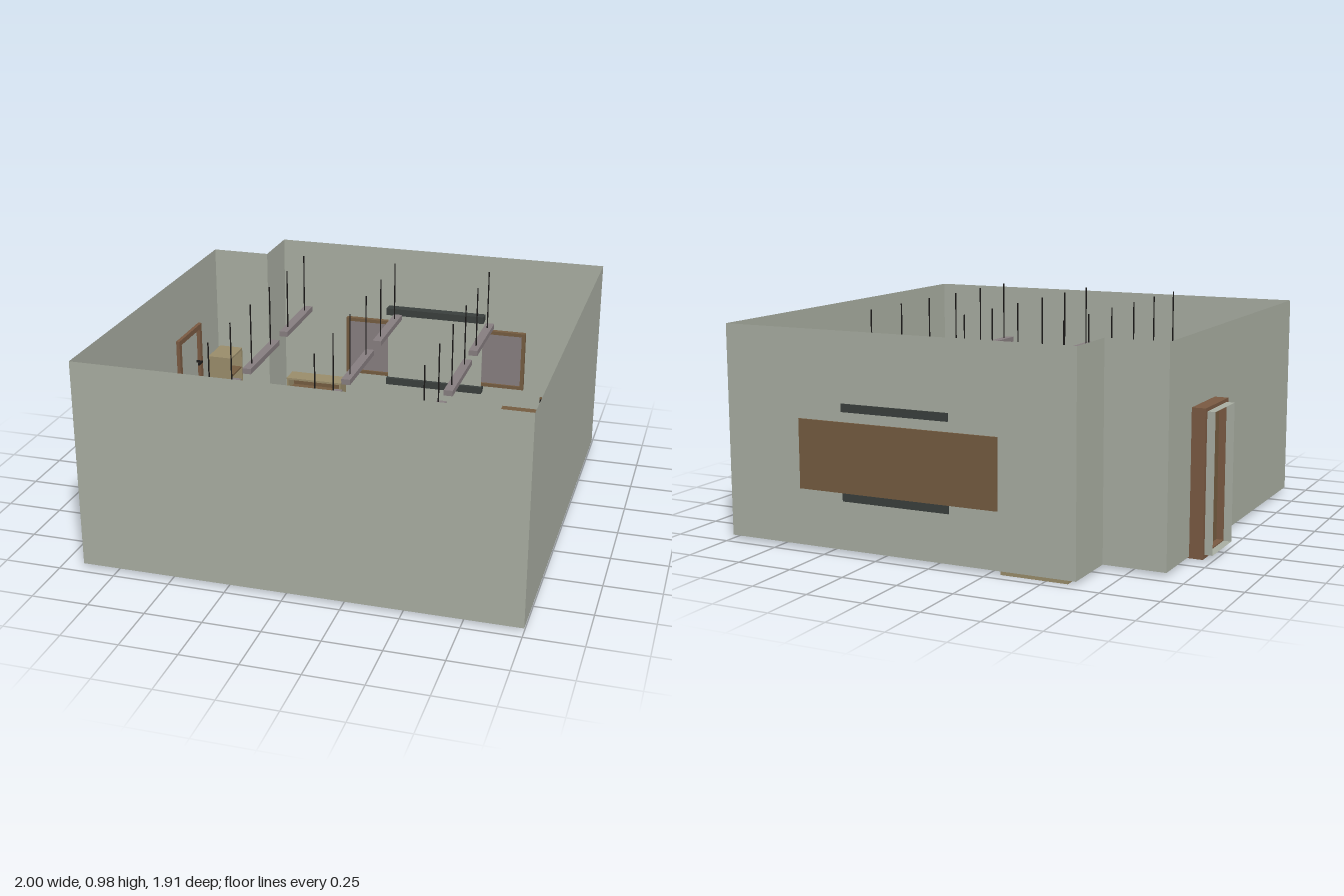
import * as THREE from 'three';

const mat = (name, color, side = THREE.FrontSide) => {
  const m = new THREE.MeshStandardMaterial({ color, side });
  m.name = name;
  return m;
};

export function createModel() {
  const wallPaint = mat('wall paint', 0xa9aea2, THREE.DoubleSide);
  const greyPurple = mat('grey floor', 0x877e80, THREE.DoubleSide);
  const deskWood = mat('desk wood', 0x755c40);
  const doorWood = mat('door wood', 0x7a5a42);
  const paleWood = mat('pale wood', 0x9a8d6b);
  const charcoal = mat('charcoal', 0x3a3f3d);
  const black = mat('black metal', 0x1c1a19);

  const model = new THREE.Group();
  model.name = 'classroom';

  const group = (name, parent = model) => {
    const g = new THREE.Group();
    g.name = name;
    parent.add(g);
    return g;
  };
  const add = (parent, name, geo, material) => {
    const m = new THREE.Mesh(geo, material);
    m.name = name;
    parent.add(m);
    return m;
  };
  // box given by its limits on each axis
  const box = (parent, name, material, x0, x1, y0, y1, z0, z1) => {
    const m = add(parent, name, new THREE.BoxGeometry(x1 - x0, y1 - y0, z1 - z0), material);
    m.position.set((x0 + x1) / 2, (y0 + y1) / 2, (z0 + z1) / 2);
    return m;
  };

  // Room: floor and thin walls follow one outline with a notched corner
  const FLOOR = 0.015, TOP = 0.94;
  const outline = [[-0.905, 0.957], [1, 0.957], [1, -0.95], [-0.63, -0.95], [-0.63, -0.685], [-0.905, -0.685]];
  const room = group('room');
  const floorShape = new THREE.Shape(outline.map(([x, z]) => new THREE.Vector2(x, -z)));
  const floor = add(room, 'floor', new THREE.ShapeGeometry(floorShape), greyPurple);
  floor.rotation.x = -Math.PI / 2;
  floor.position.y = FLOOR;
  outline.forEach(([x0, z0], i) => {
    const [x1, z1] = outline[(i + 1) % outline.length];
    const wall = add(room, 'wall', new THREE.PlaneGeometry(Math.hypot(x1 - x0, z1 - z0), TOP - FLOOR), wallPaint);
    wall.position.set((x0 + x1) / 2, (FLOOR + TOP) / 2, (z0 + z1) / 2);
    wall.rotation.y = Math.atan2(z0 - z1, x1 - x0);
  });

  // Doorway: frame, leaf, handle and the open recess behind it
  const door = group('door');
  const rect = (Type, w, y0, y1) => new Type([[-w, y0], [w, y0], [w, y1], [-w, y1]].map(p => new THREE.Vector2(...p)));
  const frameShape = rect(THREE.Shape, 0.142, 0.008, 0.64);
  frameShape.holes.push(rect(THREE.Path, 0.116, 0.03, 0.615));
  const frame = add(door, 'doorFrame',
    new THREE.ExtrudeGeometry(frameShape, { depth: 0.077, bevelEnabled: false }), doorWood);
  frame.rotation.y = Math.PI / 2;
  frame.position.set(-0.965, 0, -0.281);
  box(door, 'doorLeaf', deskWood, -0.935, -0.915, 0.02, 0.62, -0.4, -0.162);
  const plate = box(door, 'handlePlate', black, -0.915, -0.908, 0.41, 0.47, -0.392, -0.376);
  plate.name = 'handlePlate';
  box(door, 'handleStem', black, -0.91, -0.878, 0.445, 0.455, -0.389, -0.379);
  box(door, 'handleGrip', black, -0.884, -0.874, 0.445, 0.455, -0.389, -0.345);
  const recess = (name, w, h, x, y, z, rx, ry) => {
    const m = add(door, name, new THREE.PlaneGeometry(w, h), wallPaint);
    m.position.set(x, y, z);
    m.rotation.set(rx, ry, 0);
  };
  for (const z of [-0.404, -0.16]) recess('recessSide', 0.07, 0.6, -0.965, 0.325, z, 0, 0);
  for (const y of [0.025, 0.625]) recess('recessEnd', 0.07, 0.244, -0.965, y, -0.282, Math.PI / 2, 0);

  // Board on the back wall, with a screen held between two dark rails
  const board = group('board');
  box(board, 'boardBack', deskWood, -0.29, 0.64, 0.26, 0.56, -0.957, -0.94);
  box(board, 'boardSurface', greyPurple, -0.275, 0.625, 0.275, 0.545, -0.94, -0.935);
  for (const y of [0.26, 0.543]) box(board, 'boardRail', deskWood, -0.29, 0.64, y, y + 0.017, -0.94, -0.925);
  for (const x of [-0.29, 0.623]) box(board, 'boardStile', deskWood, x, x + 0.017, 0.277, 0.543, -0.94, -0.925);
  box(board, 'screen', wallPaint, -0.065, 0.425, 0.26, 0.605, -0.924, -0.918);
  box(board, 'upperScreenRail', charcoal, -0.07, 0.43, 0.603, 0.638, -0.956, -0.9);
  box(board, 'lowerScreenRail', charcoal, -0.07, 0.43, 0.225, 0.26, -0.956, -0.9);

  // Hanging lamps on pairs of wires
  const lamps = group('lamps');
  for (const x of [-0.4, 0.058, 0.515]) for (const z of [-0.44, 0.067, 0.575]) {
    box(lamps, 'lamp', greyPurple, x - 0.02, x + 0.02, 0.68, 0.705, z - 0.195, z + 0.195);
    for (const dz of [-0.128, 0.128]) {
      const wire = add(lamps, 'wire', new THREE.CylinderGeometry(0.003, 0.003, 0.28, 6), black);
      wire.position.set(x, 0.843, z + dz);
    }
  }

  // Chair facing -z, its backrest bowed outwards
  const makeChair = (parent, x, z, turn) => {
    const chair = group('chair', parent);
    chair.position.set(x, 0, z);
    chair.rotation.y = turn;
    box(chair, 'seat', deskWood, -0.05, 0.05, 0.122, 0.132, -0.055, 0.045);
    for (const s of [-1, 1]) {
      const lx = s * 0.045;
      box(chair, 'frontLeg', black, lx - 0.004, lx + 0.004, 0.007, 0.122, -0.05, -0.042);
      box(chair, 'backLeg', black, lx + s * 0.005 - 0.004, lx + s * 0.005 + 0.004, 0.007, 0.235, 0.042, 0.05);
      box(chair, 'sideRail', black, lx - 0.003, lx + 0.003, 0.114, 0.122, -0.046, 0.046);
    }
    const geo = new THREE.BoxGeometry(0.114, 0.06, 0.007, 8, 1, 1);
    const p = geo.attributes.position;
    for (let i = 0; i < p.count; i++) p.setZ(i, p.getZ(i) + 0.008 * (1 - (p.getX(i) / 0.057) ** 2));
    geo.computeVertexNormals();
    add(chair, 'backrest', geo, deskWood).position.set(0, 0.215, 0.049);
  };

  // Pupil desks: top, open tray below and four thin legs
  const makeDesk = (x, z) => {
    const place = group('pupilPlace');
    const desk = group('desk', place);
    desk.position.set(x, 0, z);
    box(desk, 'deskTop', deskWood, -0.113, 0.113, 0.2, 0.21, -0.09, 0.09);
    box(desk, 'trayFloor', deskWood, -0.105, 0.105, 0.155, 0.162, -0.082, 0.082);
    box(desk, 'trayBack', deskWood, -0.105, 0.105, 0.162, 0.2, -0.082, -0.075);
    for (const s of [-1, 1]) {
      box(desk, 'traySide', deskWood, s * 0.1015 - 0.0035, s * 0.1015 + 0.0035, 0.162, 0.2, -0.075, 0.082);
      for (const t of [-1, 1])
        box(desk, 'deskLeg', black, s * 0.097 - 0.005, s * 0.097 + 0.005, 0.007, 0.155, t * 0.074 - 0.005, t * 0.074 + 0.005);
    }
    makeChair(place, x, z + 0.103, 0);
  };
  for (const x of [-0.557, -0.146, 0.262, 0.673])
    for (const z of [-0.285, 0.044, 0.37, 0.7]) makeDesk(x, z);

  // Teacher's desk with solid ends, and its turned chair
  const teacher = group('teacherPlace');
  box(teacher, 'teacherDeskTop', deskWood, 0.573, 0.975, 0.225, 0.24, -0.745, -0.594);
  box(teacher, 'modestyPanel', deskWood, 0.6, 0.948, 0.07, 0.225, -0.615, -0.605);
  for (const x of [0.588, 0.948]) box(teacher, 'deskEnd', deskWood, x, x + 0.012, FLOOR, 0.225, -0.735, -0.603);
  box(teacher, 'drawers', deskWood, 0.86, 0.948, 0.09, 0.225, -0.73, -0.615);
  makeChair(teacher, 0.774, -0.832, 2.84);

  // Open bookcases built facing +z, with a brown back and shelves
  const makeBookcase = (name, w, h, d, shelves) => {
    const c = group(name);
    const t = 0.01;
    box(c, 'caseTop', paleWood, -w / 2, w / 2, h - t, h, -d / 2, d / 2);
    box(c, 'caseBase', paleWood, -w / 2, w / 2, 0, 0.03, -d / 2, d / 2);
    box(c, 'caseBack', deskWood, -w / 2 + t, w / 2 - t, 0.03, h - t, -d / 2, -d / 2 + t);
    for (const s of [-1, 1])
      box(c, 'caseSide', paleWood, s * (w / 2 - t / 2) - t / 2, s * (w / 2 - t / 2) + t / 2, 0.03, h - t, -d / 2, d / 2);
    for (let i = 1; i <= shelves; i++) {
      const y = 0.03 + (h - t - 0.03) * i / (shelves + 1);
      box(c, 'shelf', deskWood, -w / 2 + t, w / 2 - t, y - 0.004, y + 0.004, -d / 2 + t, d / 2 - 0.004);
    }
    return c;
  };
  makeBookcase('lowBookcase', 0.295, 0.22, 0.097, 2).position.set(-0.448, 0, -0.9);
  const tall = makeBookcase('tallBookcase', 0.165, 0.415, 0.12, 3);
  tall.position.set(-0.835, FLOOR, -0.598);
  tall.rotation.y = Math.PI / 2;

  return model;
}
